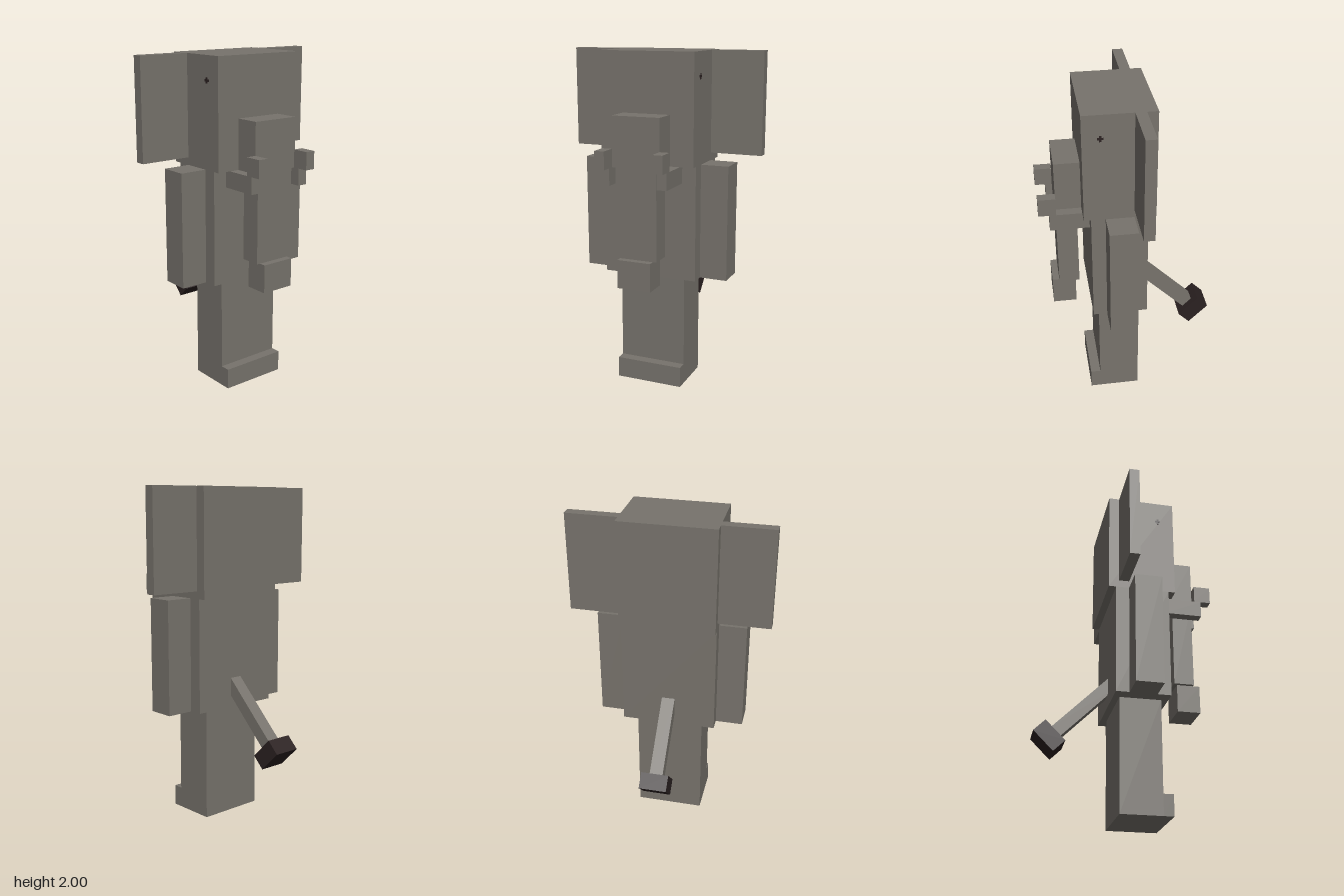
import * as THREE from 'three';

export function createModel() {
  const model = new THREE.Group();
  model.name = 'blockElephant';

  const skin = new THREE.MeshStandardMaterial({ name: 'grey skin', color: 0x77736c });
  const dark = new THREE.MeshStandardMaterial({ name: 'dark tuft', color: 0x2b2121 });

  // box from min/max ranges on each axis
  const block = (name, [x0, x1], [y0, y1], [z0, z1], material = skin, parent = model) => {
    const mesh = new THREE.Mesh(new THREE.BoxGeometry(x1 - x0, y1 - y0, z1 - z0), material);
    mesh.position.set((x0 + x1) / 2, (y0 + y1) / 2, (z0 + z1) / 2);
    mesh.name = name;
    parent.add(mesh);
    return mesh;
  };
  // the same box on both sides
  const pair = (name, [x0, x1], y, z, material) => {
    block(name + 'Left', [x0, x1], y, z, material);
    block(name + 'Right', [-x1, -x0], y, z, material);
  };

  // head, torso and legs
  block('head', [-0.288, 0.288], [1.36, 2], [-0.13, 0.28]);
  block('body', [-0.288, 0.288], [0.68, 1.36], [-0.085, 0.24]);
  block('legs', [-0.205, 0.205], [0, 0.68], [-0.047, 0.2]);
  block('toes', [-0.205, 0.205], [0, 0.125], [0.2, 0.26]);

  // ears and arms
  pair('ear', [0.288, 0.598], [1.405, 2], [-0.067, -0.005]);
  pair('arm', [0.288, 0.453], [0.68, 1.36], [-0.005, 0.158]);

  // trunk, in three steps
  block('trunkBase', [-0.145, 0.145], [1.36, 1.652], [0.28, 0.427]);
  block('trunkMiddle', [-0.125, 0.125], [0.83, 1.36], [0.305, 0.427]);
  block('trunkTip', [-0.103, 0.103], [0.66, 0.83], [0.327, 0.467]);

  // tusks: a shaft out of the chin and an upturned end
  pair('tuskShaft', [0.145, 0.205], [1.26, 1.36], [0.24, 0.467]);
  pair('tuskEnd', [0.145, 0.205], [1.36, 1.465], [0.427, 0.528]);

  // small cross-shaped eyes
  pair('eyeBar', [0.288, 0.291], [1.857, 1.869], [0.163, 0.197], dark);
  pair('eyePost', [0.288, 0.292], [1.846, 1.88], [0.174, 0.186], dark);

  // tail slanting down and back, with a dark tuft
  const tail = new THREE.Group();
  tail.name = 'tail';
  tail.position.set(0, 0.81, -0.083);
  tail.rotation.x = Math.PI / 4;
  block('tailShaft', [-0.04, 0.04], [-0.442, 0.05], [-0.038, 0.038], skin, tail);
  block('tailTuft', [-0.083, 0.083], [-0.538, -0.441], [-0.083, 0.083], dark, tail);
  model.add(tail);

  return model;
}
